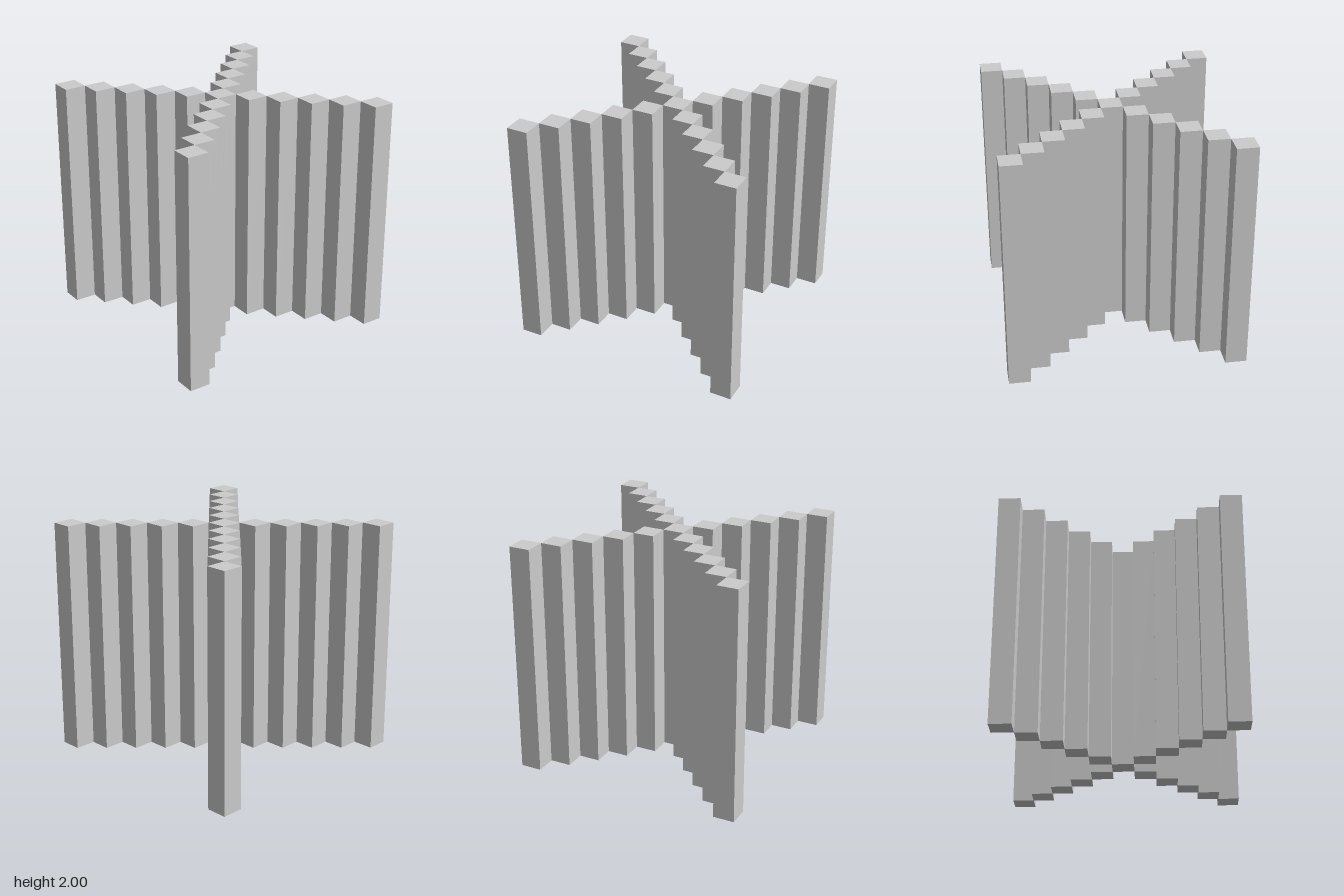
import * as THREE from 'three';

const COUNT = 11;          // columns along each diagonal
const SIZE = 2 / COUNT;    // column width
const HEIGHT = 2;

export function createModel() {
  const model = new THREE.Group();
  model.name = 'crossedColumns';
  const material = new THREE.MeshStandardMaterial({ color: 0xcccccc, flatShading: true });
  const geometry = new THREE.BoxGeometry(SIZE, HEIGHT, SIZE);

  const addColumn = (name, x, z) => {
    const column = new THREE.Mesh(geometry, material);
    column.name = name;
    column.position.set(x, HEIGHT / 2, z);
    model.add(column);
  };

  // Central column, shared by both diagonals
  addColumn('centreColumn', 0, 0);

  // Four arms of square columns touching corner to corner
  const arms = [
    ['frontLeft', 1, 1], ['frontRight', -1, 1],
    ['backLeft', 1, -1], ['backRight', -1, -1],
  ];
  for (const [name, sx, sz] of arms) {
    for (let i = 1; i <= (COUNT - 1) / 2; i++) {
      addColumn(`${name}Column${i}`, sx * i * SIZE, sz * i * SIZE);
    }
  }
  return model;
}
